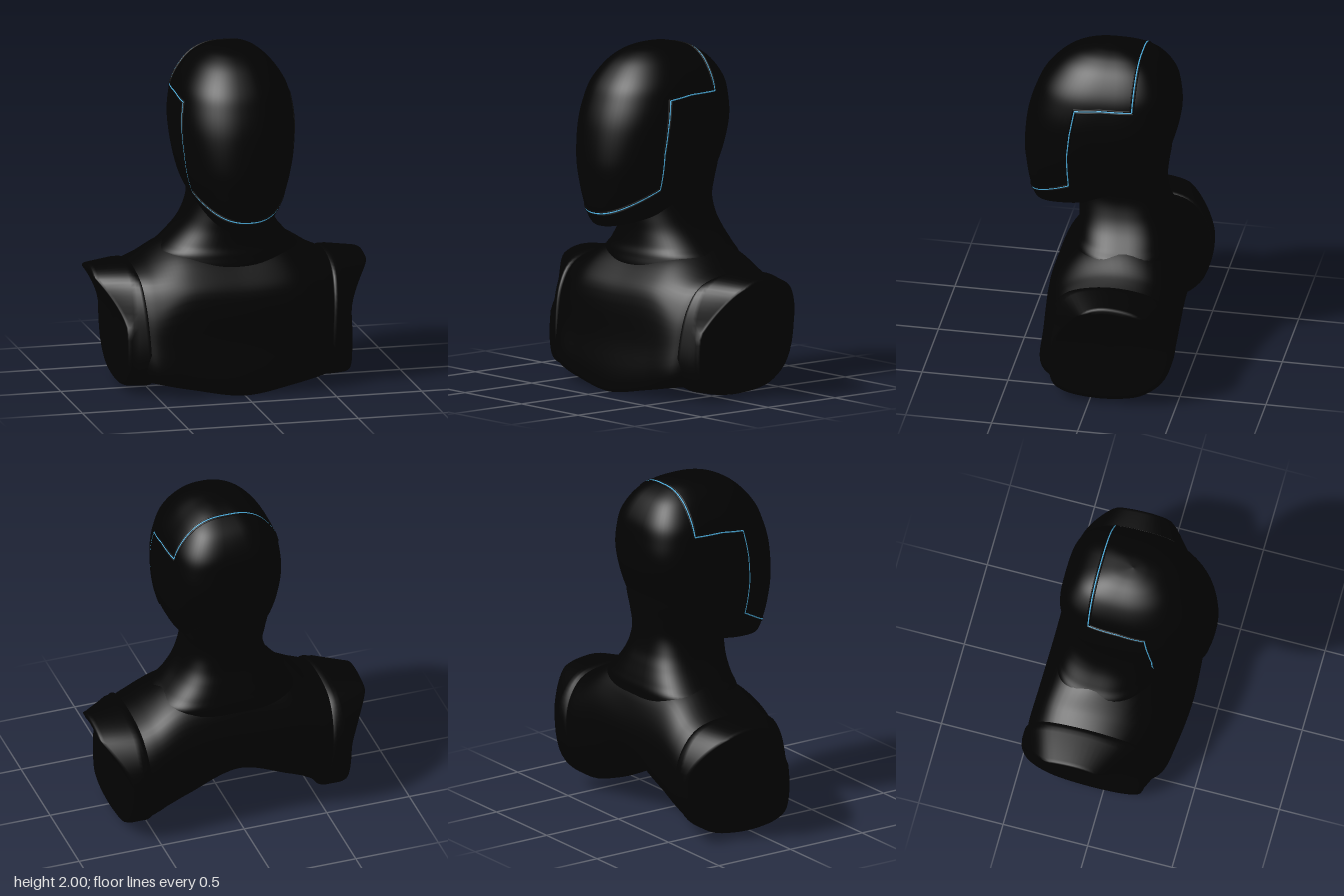
import * as THREE from 'three';

// Catmull-Rom blend of a list of number rows, t in 0..1
function blend(rows, t) {
  const n = rows.length - 1, f = Math.min(t * n, n - 1e-6), i = Math.floor(f), u = f - i;
  const at = (k) => rows[Math.max(0, Math.min(n, k))];
  return rows[0].map((_, k) => {
    const a = at(i - 1)[k], b = at(i)[k], c = at(i + 1)[k], d = at(i + 2)[k];
    return b + 0.5 * u * (c - a + u * (2 * a - 5 * b + 4 * c - d + u * (3 * (b - c) + d - a)));
  });
}
const denseRows = (rows, count) => Array.from({ length: count + 1 }, (_, i) => blend(rows, i / count));

// Skin over closed rings of [x, y, z]; turned outward by its signed volume
function skin(rings) {
  const m = rings[0].length, index = [], p = rings.flat();
  for (let i = 0; i < rings.length - 1; i++) {
    for (let j = 0; j < m; j++) {
      const a = i * m + j, b = i * m + (j + 1) % m;
      index.push(a, b, a + m, b, b + m, a + m);
    }
  }
  let volume = 0;
  const A = new THREE.Vector3(), B = new THREE.Vector3(), C = new THREE.Vector3();
  for (let i = 0; i < index.length; i += 3) {
    A.fromArray(p[index[i]]); B.fromArray(p[index[i + 1]]); C.fromArray(p[index[i + 2]]);
    volume += A.dot(B.cross(C));
  }
  if (volume < 0) index.reverse();
  const g = new THREE.BufferGeometry();
  g.setAttribute('position', new THREE.Float32BufferAttribute(p.flat(), 3));
  g.setIndex(index);
  g.computeVertexNormals();
  return g;
}

// Smooth closed outline through (z, y) points
function outline(pts, count = 72) {
  const c = new THREE.CatmullRomCurve3(pts.map(([z, y]) => new THREE.Vector3(0, y, z)), true);
  return Array.from({ length: count }, (_, i) => { const v = c.getPoint(i / count); return [v.z, v.y]; });
}

// Horizontal rounded rings from rows of [y, half width, front z, back z]
const FRONT_POWER = 2.3, BACK_POWER = 3.2;
function ringsFromRows(rows) {
  return rows.map(([y, w, zf, zb]) => Array.from({ length: 64 }, (_, j) => {
    const a = j / 64 * Math.PI * 2, s = Math.sin(a), c = Math.cos(a);
    const e = 2 / (s > 0 ? FRONT_POWER : BACK_POWER);
    const x = Math.sign(c) * Math.abs(c) ** e * w;
    return [x, y, (zf + zb) / 2 + Math.sign(s) * Math.abs(s) ** e * (zf - zb) / 2];
  }));
}

const HEAD = [
  [0.968, 0, 0.38, 0.38], [0.975, 0.07, 0.415, 0.29], [0.995, 0.13, 0.432, 0.16],
  [1.03, 0.175, 0.446, 0.03], [1.1, 0.225, 0.463, -0.12], [1.2, 0.28, 0.478, -0.27],
  [1.35, 0.32, 0.49, -0.35], [1.55, 0.341, 0.47, -0.4], [1.7, 0.328, 0.425, -0.395],
  [1.8, 0.298, 0.375, -0.37], [1.9, 0.23, 0.285, -0.302], [1.96, 0.155, 0.19, -0.212],
  [1.99, 0.08, 0.09, -0.115], [2.0, 0, 0, 0],
];
// The neck starts inside the torso and ends inside the head
const NECK = [
  [0.58, 0.25, 0.15, -0.33], [0.7, 0.38, 0.195, -0.395], [0.78, 0.415, 0.188, -0.402],
  [0.84, 0.36, 0.175, -0.388], [0.92, 0.29, 0.17, -0.362],
  [1.0, 0.247, 0.172, -0.336], [1.1, 0.222, 0.17, -0.322], [1.2, 0.238, 0.15, -0.328],
  [1.32, 0.25, 0.1, -0.345], [1.45, 0.22, 0.05, -0.35],
];

// Torso sections at x = 0, 0.3, 0.5 as (z, y): up the front, over, down the back, underneath
const CENTRE = [[.345, .005], [.357, .08], [.33, .3], [.3, .58], [.24, .68], [.11, .79], [-.15, .84], [-.36, .8],
  [-.435, .66], [-.465, .47], [-.4, .36], [-.2, .4], [0, .33], [.2, .17], [.31, .03]];
const MIDDLE = [[.325, .05], [.34, .11], [.32, .3], [.29, .58], [.23, .68], [.1, .79], [-.14, .855], [-.34, .8],
  [-.435, .66], [-.472, .45], [-.42, .27], [-.22, .28], [0, .22], [.18, .13], [.29, .06]];
const SIDE = [[.28, .09], [.31, .15], [.295, .32], [.26, .5], [.18, .65], [.02, .73], [-.2, .748], [-.36, .7],
  [-.45, .58], [-.48, .42], [-.435, .2], [-.3, .1], [-.1, .075], [.1, .075], [.22, .08]];
const CAP = [[.215, .1], [.24, .2], [.235, .36], [.2, .54], [.13, .66], [0, .715], [-.2, .722], [-.36, .68],
  [-.45, .58], [-.49, .44], [-.44, .19], [-.31, .07], [-.12, .03], [.06, .035], [.16, .06]];
const MID_Z = -0.12, MID_Y = 0.38;
const scaled = (pts, k) => pts.map(([z, y]) => [MID_Z + (z - MID_Z) * k, MID_Y + (y - MID_Y) * k]);

function torsoGeometry() {
  const keys = [[0, CENTRE], [0.3, MIDDLE], [0.5, SIDE], [0.6, scaled(CAP, 0.95)]];
  const half = keys.map(([x, pts]) => [x, ...outline(pts).flat()]);
  const rows = [...half.slice(1).reverse().map((r) => [-r[0], ...r.slice(1)]), ...half];
  const rings = denseRows(rows, 60).map((r) =>
    Array.from({ length: 72 }, (_, j) => [r[0], r[2 + j * 2], r[1 + j * 2]]));
  const end = (r) => r.map(([x]) => [x, MID_Y, MID_Z]);
  return skin([end(rings[0]), ...rings, end(rings[rings.length - 1])]);
}

// Shoulder cap: slanted inner rim, outer face flaring and narrowing toward the top
function capGeometry(side) {
  const base = outline(CAP);
  const flareAt = (y) => THREE.MathUtils.clamp((y - 0.4) / 0.28, 0, 1) ** 1.5;
  const inner = (k, inset, front) => scaled(base, k).map(([z, y]) =>
    [side * (0.512 + 0.078 * y + inset), y, z > 0 ? z * front : z]);
  const outer = (k, inset) => scaled(base, k).map(([z, y]) => {
    const t = flareAt(y), narrow = z > -0.16 ? 0.32 * Math.sqrt(t) : 0.17 * t;
    return [side * (0.662 + 0.142 * t - inset), y - 0.015 * t, -0.16 + (z + 0.16) * (1 - narrow)];
  });
  const rings = [
    inner(0.8, 0.005, 1), inner(0.95, -0.002, 1.22), inner(0.985, 0.004, 1.21), inner(1, 0.02, 1.16),
    base.map(([z, y]) => [side * 0.6, y, z > 0 ? z * 1.05 : z]),
    base.map(([z, y]) => [side * 0.625, y, z]),
    outer(0.995, 0.022), outer(0.98, 0.006),
  ];
  for (const k of [0.95, 0.9, 0.8, 0.65, 0.5, 0.35, 0.2, 0]) rings.push(outer(k, 0));
  return skin(rings);
}

// Half width of the head at a given height and depth
function headX(rows, y, z) {
  const i = rows.findIndex((r) => r[0] >= y);
  if (i < 1) return 0;
  const u = (y - rows[i - 1][0]) / (rows[i][0] - rows[i - 1][0]);
  const [, w, zf, zb] = rows[i].map((v, k) => rows[i - 1][k] + (v - rows[i - 1][k]) * u);
  const q = (z - (zf + zb) / 2) / ((zf - zb) / 2);
  if (Math.abs(q) >= 1) return 0;
  const n = q > 0 ? FRONT_POWER : BACK_POWER;
  return w * (1 - Math.abs(q) ** n) ** (1 / n);
}

// Seam path on the head in profile as (z, y), shifted sideways by offset
const SEAM = [[-0.19, 2.02], [-0.183, 1.73], [0, 1.728], [0.15, 1.708], [0.178, 1.55], [0.195, 1.4], [0.192, 1.19], [0.53, 1.007]];
function seamGeometry(rows, side, offset, radius) {
  const lerp = (a, b, t) => [a[0] + (b[0] - a[0]) * t, a[1] + (b[1] - a[1]) * t];
  const last = SEAM.length - 1;
  const normal = (i) => {
    const [a, b] = [SEAM[i], SEAM[i + 1]], l = Math.hypot(b[0] - a[0], b[1] - a[1]);
    return [(a[1] - b[1]) / l, (b[0] - a[0]) / l];
  };
  const corners = SEAM.map(([z, y], i) => {
    const p = normal(Math.max(0, i - 1)), q = normal(Math.min(last - 1, i));
    const k = offset / (1 + p[0] * q[0] + p[1] * q[1]);
    return [z + (p[0] + q[0]) * k, y + (p[1] + q[1]) * k];
  });
  // The end legs run until they meet the centre line
  const meet = (inside, outside) => {
    let lo = 0, hi = 1;
    for (let i = 0; i < 40; i++) {
      const t = (lo + hi) / 2, [z, y] = lerp(inside, outside, t);
      if (headX(rows, y, z) > 0) lo = t; else hi = t;
    }
    return lerp(inside, outside, lo);
  };
  corners[0] = meet(corners[1], corners[0]);
  corners[last] = meet(corners[last - 1], corners[last]);
  const points = [];
  for (let i = 0; i < last; i++) {
    for (let k = 0; k < 24; k++) {
      let t = k / 24;
      if (i === 0) t = t * t;
      if (i === last - 1) t = 1 - (1 - t) ** 2;
      const [z, y] = lerp(corners[i], corners[i + 1], t);
      points.push(new THREE.Vector3(side * headX(rows, y, z), y, z));
    }
  }
  points.push(new THREE.Vector3(0, corners[last][1], corners[last][0]));
  const path = new THREE.CurvePath();
  for (let i = 1; i < points.length; i++) path.add(new THREE.LineCurve3(points[i - 1], points[i]));
  return new THREE.TubeGeometry(path, 400, radius, 6);
}

export function createModel() {
  const black = new THREE.MeshStandardMaterial({ color: 0x020202 });
  black.name = 'black';
  const blue = new THREE.MeshStandardMaterial({ color: 0x58c8ff });
  blue.name = 'light blue';

  const group = new THREE.Group();
  group.name = 'bust';
  const add = (name, geometry, material) => {
    const mesh = new THREE.Mesh(geometry, material);
    mesh.name = name;
    group.add(mesh);
  };

  const headRows = denseRows(HEAD, 104);
  add('head', skin(ringsFromRows(headRows)), black);
  add('neck', skin(ringsFromRows(denseRows(NECK, 60))), black);
  add('torso', torsoGeometry(), black);
  for (const [side, label] of [[1, 'left'], [-1, 'right']]) {
    add(label + 'ShoulderCap', capGeometry(side), black);
    // Blue seam sunk between two dark lips
    add(label + 'FaceSeam', seamGeometry(headRows, side, 0, 0.004), blue);
    for (const [offset, edge] of [[0.0085, 'Inner'], [-0.0085, 'Outer']]) {
      add(label + edge + 'SeamLip', seamGeometry(headRows, side, offset, 0.005), black);
    }
  }
  return group;
}
